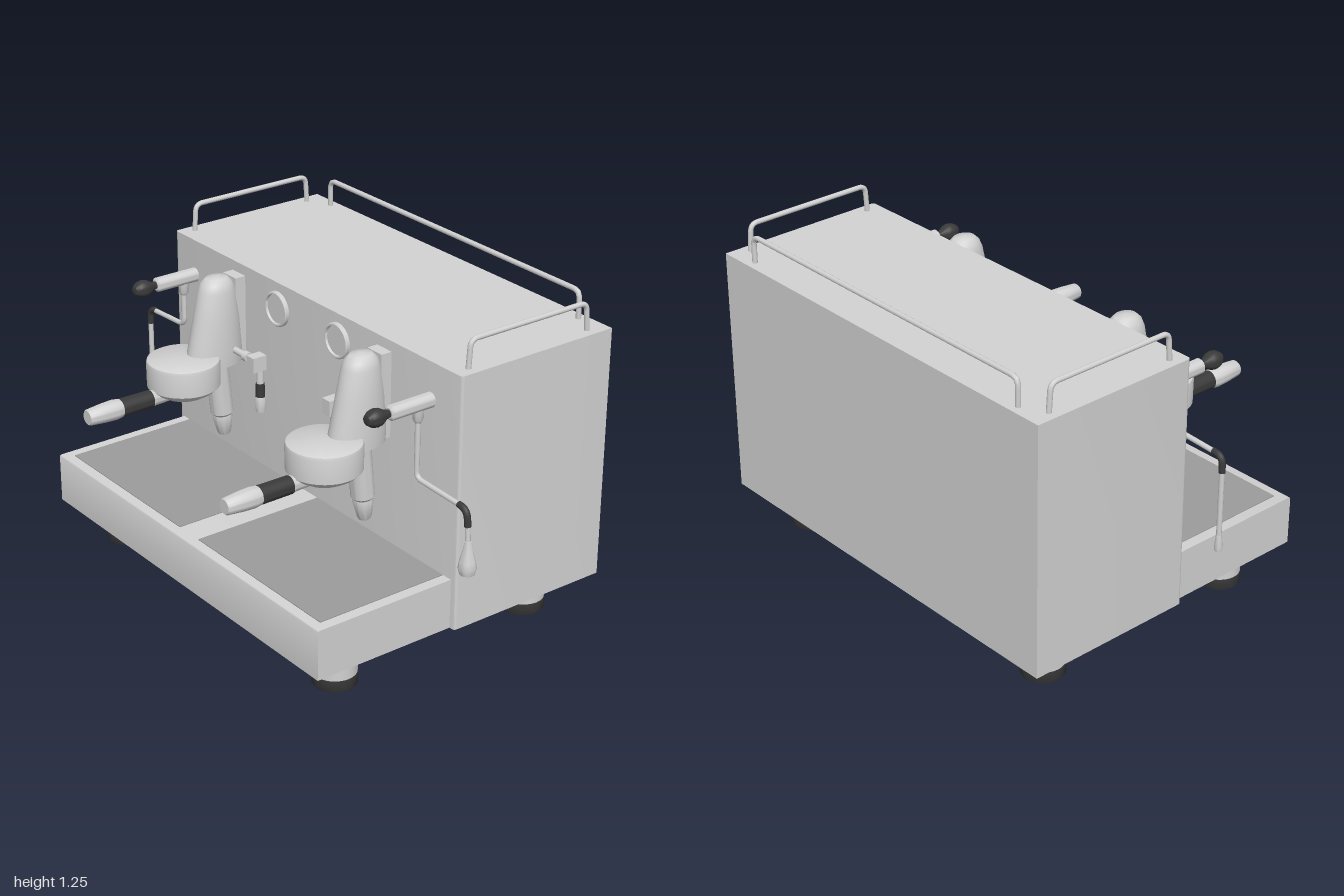
import * as THREE from 'three';
import { toCreasedNormals } from 'three/addons/utils/BufferGeometryUtils.js';

const material = (name, color) => new THREE.MeshStandardMaterial({ name, color });
const V = (x, y, z) => new THREE.Vector3(x, y, z);

export function createModel() {
  const model = new THREE.Group();
  model.name = 'espressoMachine';
  const steel = material('brushedSteel', 0xd2d2d2);
  const grateGrey = material('grateGrey', 0x9c9c9c);
  const black = material('blackRubber', 0x3a3a3a);

  const add = (parent, name, geometry, mat, x = 0, y = 0, z = 0) => {
    const mesh = new THREE.Mesh(geometry, mat);
    mesh.name = name;
    mesh.position.set(x, y, z);
    parent.add(mesh);
    return mesh;
  };
  const group = (name, x = 0, y = 0, z = 0) => {
    const g = new THREE.Group();
    g.name = name;
    g.position.set(x, y, z);
    model.add(g);
    return g;
  };
  const box = (w, h, d) => new THREE.BoxGeometry(w, h, d);
  // Turned part: [radius, height] pairs from bottom to top
  const turned = (profile, sides = 32) => toCreasedNormals(
    new THREE.LatheGeometry(profile.map(([r, y]) => new THREE.Vector2(r, y)), sides), 0.6);
  // Turned part lying along +z
  const turnedZ = (profile, sides = 32) => {
    // Reversed profile keeps the surface outward after the turn
    return turned(profile, sides).rotateX(Math.PI / 2);
  };
  // Bent rod with rounded corners
  const rod = (points, radius, bend) => {
    const path = new THREE.CurvePath();
    let from = points[0];
    for (let i = 1; i < points.length - 1; i++) {
      const p = points[i];
      const a = p.clone().add(points[i - 1].clone().sub(p).setLength(bend));
      const b = p.clone().add(points[i + 1].clone().sub(p).setLength(bend));
      path.add(new THREE.LineCurve3(from, a));
      path.add(new THREE.QuadraticBezierCurve3(a, p, b));
      from = b;
    }
    path.add(new THREE.LineCurve3(from, points[points.length - 1]));
    return new THREE.TubeGeometry(path, 90, radius, 10);
  };

  // Cabinet with softened front corners
  const x0 = -0.87, x1 = 0.845, c = 0.014;
  const plan = new THREE.Shape();
  plan.moveTo(x0, 0.69);
  plan.lineTo(x0, c);
  plan.quadraticCurveTo(x0, 0, x0 + c, 0);
  plan.lineTo(x1 - c, 0);
  plan.quadraticCurveTo(x1, 0, x1, c);
  plan.lineTo(x1, 0.69);
  const cabinet = new THREE.ExtrudeGeometry(plan, { depth: 0.985, bevelEnabled: false, curveSegments: 5 });
  cabinet.rotateX(-Math.PI / 2);
  add(model, 'cabinet', toCreasedNormals(cabinet, 0.6), steel, 0, 0.155, 0);

  // Drip tray with rounded upper front edge
  const side = new THREE.Shape();
  side.moveTo(0, 0.155);
  side.lineTo(0.585, 0.155);
  side.lineTo(0.585, 0.34);
  side.quadraticCurveTo(0.585, 0.35, 0.575, 0.35);
  side.lineTo(0, 0.35);
  const tray = new THREE.ExtrudeGeometry(side, { depth: 1.665, bevelEnabled: false, curveSegments: 4 });
  tray.rotateY(-Math.PI / 2);
  add(model, 'dripTray', toCreasedNormals(tray, 0.6), steel, 0.82, 0, 0);
  for (const x of [-0.437, 0.413])
    add(model, 'dripGrate', box(0.73, 0.004, 0.54), grateGrey, x, 0.351, 0.273);

  // Feet
  for (const x of [-0.685, 0.657]) for (const z of [0.387, -0.495]) {
    const foot = group('foot', x, 0, z);
    add(foot, 'footPad', turned([[0, 0], [0.08, 0], [0.083, 0.005], [0.083, 0.047], [0, 0.047]]), black);
    add(foot, 'footColumn', turned([[0.082, 0.045], [0.082, 0.156]]), steel);
  }

  // Cup rails
  add(model, 'backRail', rod([V(-0.735, 1.13, -0.655), V(-0.735, 1.245, -0.655),
    V(0.71, 1.245, -0.655), V(0.71, 1.13, -0.655)], 0.01, 0.03), steel);
  for (const x of [-0.83, 0.804])
    add(model, 'sideRail', rod([V(x, 1.13, -0.062), V(x, 1.245, -0.07),
      V(x, 1.245, -0.6), V(x, 1.13, -0.608)], 0.01, 0.03), steel);

  // Pressure gauges
  for (const x of [-0.197, 0.167]) {
    const gauge = group('gauge', x, 1.038, 0);
    add(gauge, 'gaugeBezel', turnedZ([[0.068, 0], [0.068, 0.012], [0.064, 0.016],
      [0.058, 0.016], [0.056, 0.006]], 40), steel);
    add(gauge, 'gaugeFace', new THREE.CircleGeometry(0.057, 40), steel, 0, 0, 0.007);
  }

  // Neck lofted from ellipses: [height, back z, front z, half width]
  const neckGeometry = () => {
    const rings = [[0.765, 0.0, 0.245, 0.074], [0.82, 0.0, 0.235, 0.074], [0.95, 0.012, 0.205, 0.069],
      [1.06, 0.03, 0.18, 0.06], [1.09, 0.042, 0.167, 0.052], [1.108, 0.06, 0.148, 0.036], [1.114, 0.104, 0.105, 0.001]];
    const n = 28, pos = [], index = [];
    rings.forEach(([y, back, front, w], j) => {
      for (let i = 0; i < n; i++) {
        const t = (i / n) * Math.PI * 2;
        pos.push(Math.sin(t) * w, y, (back + front) / 2 + Math.cos(t) * (front - back) / 2);
        if (j) {
          const a = (j - 1) * n + i, b = (j - 1) * n + (i + 1) % n;
          index.push(a, b, b + n, a, b + n, a + n);
        }
      }
    });
    // Close the underside
    for (let i = 1; i < n - 1; i++) index.push(0, i + 1, i);
    const g = new THREE.BufferGeometry();
    g.setAttribute('position', new THREE.Float32BufferAttribute(pos, 3));
    g.setIndex(index);
    g.computeVertexNormals();
    return toCreasedNormals(g, 0.7);
  };

  // Brew groups, with the tap on the inner side
  for (const [x, s] of [[-0.446, 1], [0.43, -1]]) {
    const brew = group('brewGroup', x);
    add(brew, 'neck', neckGeometry(), steel);
    add(brew, 'mountPlate', box(0.08, 0.33, 0.045), steel, 0, 0.935, 0.022);
    add(brew, 'brewHead', turned([[0, 0.655], [0.04, 0.66], [0.085, 0.676], [0.12, 0.697], [0.139, 0.715],
      [0.14, 0.805], [0.137, 0.816], [0.13, 0.82], [0, 0.82]], 40), steel, 0, 0, 0.262);

    // Portafilter handle
    const handle = new THREE.Group();
    handle.name = 'portafilterHandle';
    handle.position.set(0, 0.693, 0);
    brew.add(handle);
    add(handle, 'handleNeck', turnedZ([[0.026, 0.28], [0.03, 0.4], [0.034, 0.416]]), steel);
    add(handle, 'handleGrip', turnedZ([[0, 0.414], [0.034, 0.414], [0.035, 0.55], [0, 0.55]]), black);
    add(handle, 'handleEnd', turnedZ([[0.035, 0.548], [0.039, 0.575], [0.037, 0.62],
      [0.031, 0.685], [0.027, 0.69], [0, 0.69]]), steel);

    // Spout, leaning slightly back
    const spout = add(brew, 'spout', turned([[0, -0.32], [0.022, -0.32], [0.027, -0.31], [0.038, -0.25],
      [0.036, -0.235], [0.044, -0.225], [0.045, 0]]), steel, 0, 0.775, 0.112);
    spout.rotation.x = 0.1;

    // Water tap
    const arm = add(brew, 'tapArm', new THREE.CylinderGeometry(0.013, 0.013, 0.17, 16), steel, s * 0.125, 0.825, 0.07);
    arm.rotation.z = Math.PI / 2;
    const collar = add(brew, 'tapCollar', new THREE.CylinderGeometry(0.02, 0.02, 0.025, 16), steel, s * 0.145, 0.825, 0.07);
    collar.rotation.z = Math.PI / 2;
    add(brew, 'tapBlock', box(0.044, 0.06, 0.06), steel, s * 0.205, 0.822, 0.07);
    add(brew, 'tapStem', new THREE.CylinderGeometry(0.014, 0.014, 0.07, 16), steel, s * 0.211, 0.765, 0.058);
    add(brew, 'tapSleeve', new THREE.CylinderGeometry(0.017, 0.018, 0.065, 16), black, s * 0.211, 0.705, 0.058);
    add(brew, 'tapTip', turned([[0, 0.62], [0.017, 0.62], [0.023, 0.66], [0.019, 0.682], [0, 0.682]], 16), steel, s * 0.211, 0, 0.058);
  }

  // Steam valves
  for (const x of [-0.742, 0.686]) {
    const valve = group('steamValve', x, 0.998, 0);
    add(valve, 'valveBody', turnedZ([[0.028, 0], [0.028, 0.178], [0.02, 0.185], [0, 0.185]], 24), steel);
    add(valve, 'valveKnob', turnedZ([[0.014, 0.18], [0.017, 0.2], [0.031, 0.225], [0.034, 0.243],
      [0.03, 0.262], [0.018, 0.28], [0, 0.286]], 24), black);
    add(valve, 'wandSocket', turned([[0.012, -0.07], [0.018, -0.06], [0.019, -0.01]], 20), steel, 0, 0, 0.055);
  }

  // Steam wands
  const z = 0.055;
  add(model, 'rightWand', rod([V(-0.742, 0.96, z), V(-0.742, 0.8, z), V(-0.95, 0.79, z)], 0.01, 0.035), steel);
  add(model, 'rightWandElbow', rod([V(-0.94, 0.791, z), V(-0.984, 0.789, z), V(-0.985, 0.725, z)], 0.0125, 0.035), black);
  add(model, 'rightWandPipe', rod([V(-0.985, 0.74, z), V(-0.985, 0.45, z)], 0.01, 0.01), steel);
  add(model, 'rightWandTip', turned([[0, 0.41], [0.013, 0.41], [0.015, 0.425], [0.01, 0.475]], 16), steel, -0.985, 0, z);

  add(model, 'leftWand', rod([V(0.686, 0.96, z), V(0.686, 0.714, z), V(0.925, 0.705, z)], 0.01, 0.03), steel);
  add(model, 'leftWandElbow', rod([V(0.912, 0.706, z), V(0.955, 0.703, z), V(0.962, 0.64, z)], 0.0125, 0.035), black);
  add(model, 'leftWandPipe', rod([V(0.961, 0.65, z), V(0.966, 0.56, z)], 0.01, 0.01), steel);
  add(model, 'leftWandTip', turned([[0, 0.458], [0.027, 0.46], [0.033, 0.483], [0.029, 0.51],
    [0.019, 0.545], [0.012, 0.585], [0, 0.587]], 24), steel, 0.966, 0, z);

  return model;
}
